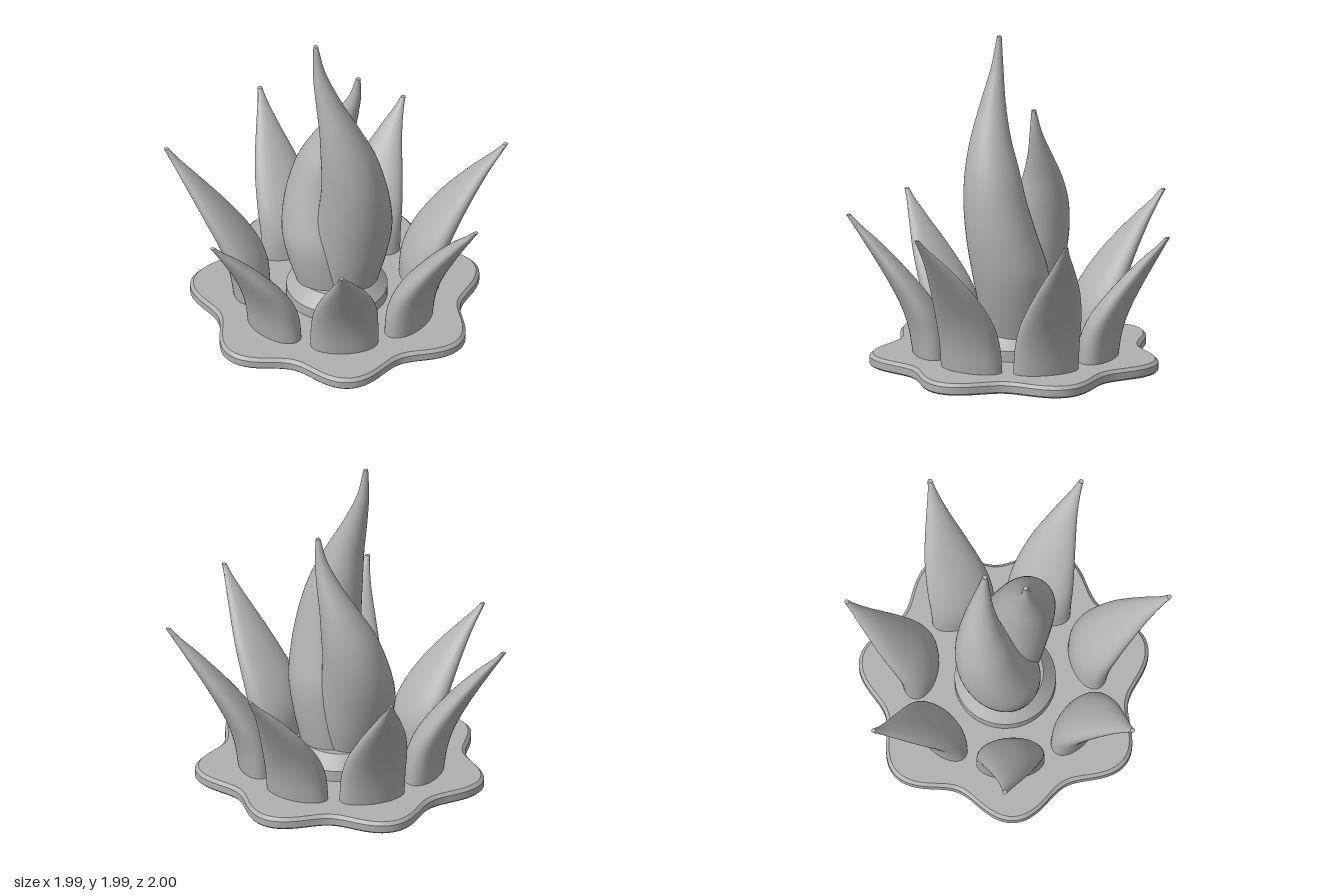
import * as THREE from 'three';
import { toCreasedNormals } from 'three/addons/utils/BufferGeometryUtils.js';

const TAU = Math.PI * 2;

// Smoothly resample a small table of numbers, column by column
function resample(rows, steps) {
  const curves = rows[0].map((_, c) => new THREE.SplineCurve(rows.map((r, i) => new THREE.Vector2(i, r[c]))));
  return Array.from({ length: steps + 1 }, (_, i) => curves.map((s) => s.getPoint(i / steps).y));
}

// Closed loft through horizontal rings; each ring has y, centre x/z and half sizes rx/rz
function loft(rings, sides, wave = () => 0) {
  const pos = [], idx = [];
  for (const { x, y, z, rx, rz } of rings) {
    for (let j = 0; j < sides; j++) {
      const a = (j / sides) * TAU, w = wave(a);
      pos.push(x + (rx + w) * Math.cos(a), y, z + (rz + w) * Math.sin(a));
    }
  }
  const top = rings.length - 1, first = rings[0], last = rings[top];
  const c0 = pos.length / 3, c1 = c0 + 1;
  pos.push(first.x, first.y, first.z, last.x, last.y, last.z);
  for (let j = 0; j < sides; j++) {
    const k = (j + 1) % sides;
    for (let r = 0; r < top; r++) {
      const a = r * sides + j, b = r * sides + k, c = a + sides, d = b + sides;
      idx.push(a, c, b, b, c, d);
    }
    idx.push(c0, j, k, c1, top * sides + k, top * sides + j);
  }
  const g = new THREE.BufferGeometry();
  g.setAttribute('position', new THREE.Float32BufferAttribute(pos, 3));
  g.setIndex(idx);
  return toCreasedNormals(g, 0.6);
}

// height fraction, outward lean, sideways lean, half thickness, half width
const LEAF = [
  [0, 0, 0, 0.11, 0.205],
  [0.18, 0.025, 0, 0.115, 0.203],
  [0.36, 0.098, 0, 0.105, 0.19],
  [0.58, 0.24, 0.006, 0.08, 0.143],
  [0.79, 0.4, 0.03, 0.05, 0.075],
  [0.92, 0.51, 0.055, 0.025, 0.032],
  [1, 0.573, 0.07, 0.014, 0.014],
];

// height, offset x, offset z, radius
const FLAME = [
  [0.2, 0.055, 0.02, 0.19],
  [0.4, 0.072, 0.045, 0.217],
  [0.6, 0.083, 0.075, 0.23],
  [0.8, 0.076, 0.122, 0.215],
  [1.0, 0.054, 0.155, 0.192],
  [1.2, 0.018, 0.163, 0.165],
  [1.4, -0.034, 0.153, 0.121],
  [1.6, -0.092, 0.117, 0.076],
  [1.8, -0.136, 0.075, 0.038],
  [1.99, -0.152, 0.055, 0.014],
];

export function createModel() {
  const group = new THREE.Group();
  group.name = 'flamePlant';
  const body = new THREE.Group();
  body.name = 'body';
  body.position.set(-0.068, 0, 0.015);
  group.add(body);

  const grey = new THREE.MeshStandardMaterial({ color: 0xb0b0b0 });
  grey.name = 'stone grey';
  const add = (geometry, name) => {
    const mesh = new THREE.Mesh(geometry, grey);
    mesh.name = name;
    body.add(mesh);
    return mesh;
  };

  // Seven-lobed base plate with bevelled rims
  const plate = [[0, 0.81], [0.01, 0.82], [0.053, 0.82], [0.073, 0.8]]
    .map(([y, r]) => ({ x: 0, y, z: 0, rx: r, rz: r }));
  add(loft(plate, 168, (a) => 0.07 * Math.cos(7 * a)), 'basePlate');

  // Round collar under the central flames
  const collar = [[0.06, 0.305], [0.14, 0.305], [0.22, 0.23]]
    .map(([y, r]) => ({ x: 0, y, z: 0, rx: r, rz: r }));
  add(loft(collar, 64), 'collar');

  // Ring of seven outward-leaning leaves, in three alternating heights
  const heights = [0.92, 0.8, 0.86];
  for (let i = 0; i < 7; i++) {
    const h = heights[i % 3];
    const rings = resample(LEAF, 36).map(([t, out, side, rx, rz]) => (
      { x: 0.518 + out * h, y: 0.07 + t * h, z: side * h, rx, rz }));
    add(loft(rings, 48), 'leaf' + (i + 1)).rotation.y = (i / 7) * TAU;
  }

  // Two central flames curling around each other
  const flame = (scaleY) => loft(resample(FLAME, 54).map(([y, x, z, r]) => (
    { x, y: 0.2 + (y - 0.2) * scaleY, z, rx: r, rz: r })), 48);
  add(flame(1), 'tallFlame');
  add(flame(0.782), 'shortFlame').rotation.y = Math.PI;

  return group;
}
